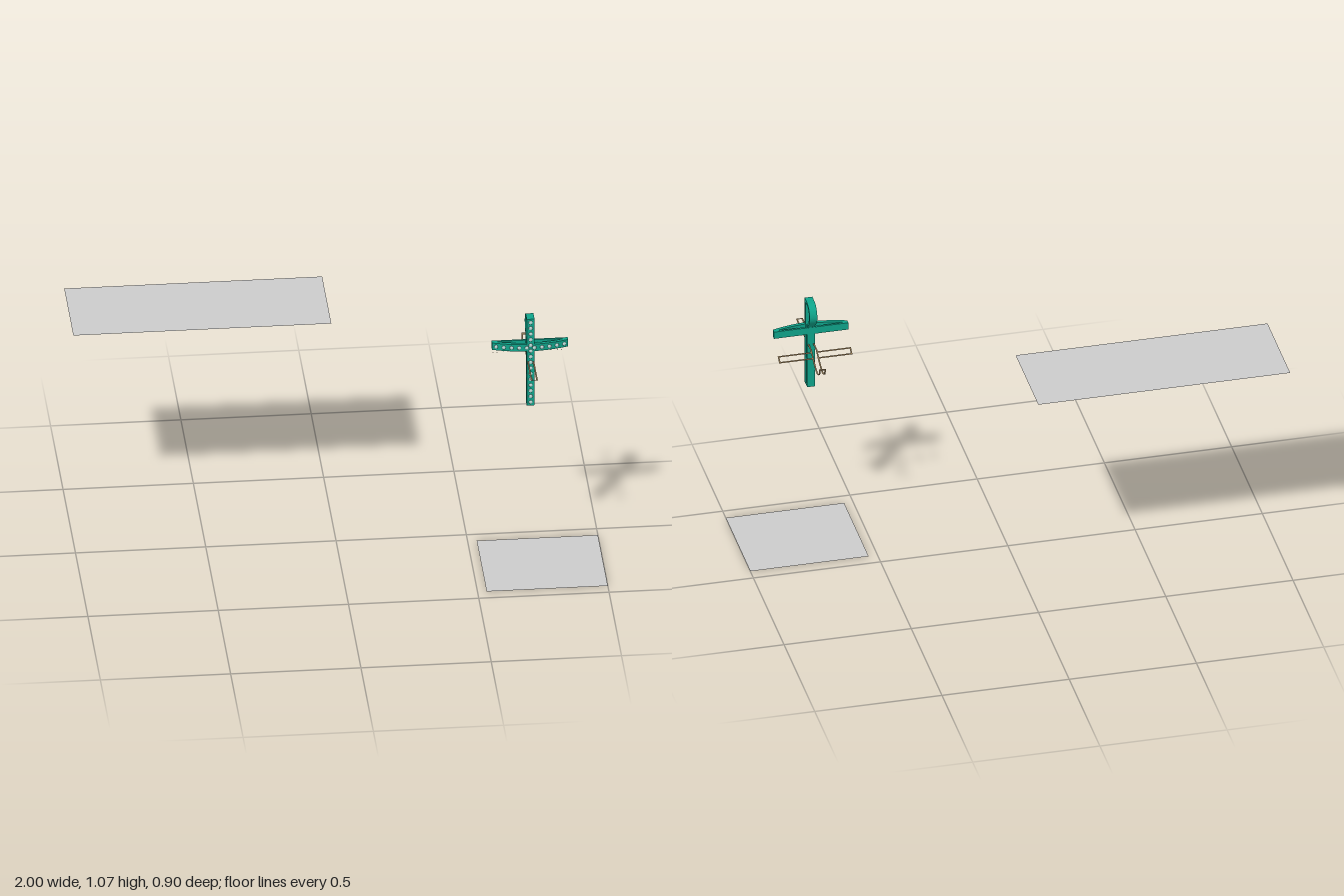
import * as THREE from 'three';

const CX = 0.723; // centre line of both crosses
const grey = new THREE.MeshStandardMaterial({ color: 0xcccccc, side: THREE.DoubleSide });
const teal = new THREE.MeshStandardMaterial({ color: 0x0fa58b });
const pale = new THREE.MeshStandardMaterial({ color: 0xbfe0dc });
const brown = new THREE.MeshStandardMaterial({ color: 0x8a7350, side: THREE.DoubleSide });

function add(parent, name, geometry, material) {
  const mesh = new THREE.Mesh(geometry, material);
  mesh.name = name;
  parent.add(mesh);
  return mesh;
}

function sheet(parent, name, x0, x1, y, z0, z1) {
  const g = new THREE.PlaneGeometry(x1 - x0, z1 - z0).rotateX(-Math.PI / 2);
  add(parent, name, g, grey).position.set((x0 + x1) / 2, y, (z0 + z1) / 2);
}

function polygon(points, Type = THREE.Path) {
  return new Type(points.map(([x, y]) => new THREE.Vector2(x, y)));
}

// Ribbon of zero thickness following a (z, y) profile between two x positions
function ribbon(parent, name, profile, x0, x1) {
  const pos = [], index = [];
  profile.forEach(([z, y], i) => {
    pos.push(x0, y, z, x1, y, z);
    if (i) index.push(2 * i - 2, 2 * i - 1, 2 * i, 2 * i - 1, 2 * i + 1, 2 * i);
  });
  const g = new THREE.BufferGeometry();
  g.setAttribute('position', new THREE.Float32BufferAttribute(pos, 3));
  g.setIndex(index);
  g.computeVertexNormals();
  add(parent, name, g, brown);
}

// Front face of the bowed arm
const bow = (x) => 0.25 - 0.025 * ((x - CX) / 0.146) ** 2;

function standingCross() {
  const cross = new THREE.Group();
  cross.name = 'standingCross';

  // Upright with a hanging loop behind its top, drawn in (z, y)
  const side = new THREE.Shape();
  side.moveTo(0.209, 0.693);
  side.lineTo(0.25, 0.693);
  side.lineTo(0.25, 1.07);
  side.lineTo(0.216, 1.07);
  side.bezierCurveTo(0.188, 1.07, 0.168, 1.048, 0.168, 1.022);
  side.bezierCurveTo(0.168, 0.99, 0.205, 0.975, 0.209, 0.957);
  const loop = new THREE.Path();
  loop.moveTo(0.233, 0.957);
  loop.lineTo(0.233, 1.059);
  loop.lineTo(0.216, 1.059);
  loop.bezierCurveTo(0.195, 1.059, 0.179, 1.043, 0.179, 1.022);
  loop.bezierCurveTo(0.179, 0.997, 0.208, 0.985, 0.217, 0.957);
  side.holes.push(loop);
  for (const [low, high] of [[0.702, 0.805], [0.817, 0.922]]) {
    side.holes.push(polygon([[0.219, low], [0.219, high], [0.232, high], [0.232, low]]));
  }
  const width = 0.03;
  const upright = new THREE.ExtrudeGeometry(side, { depth: width, bevelEnabled: false, curveSegments: 14 });
  upright.rotateY(-Math.PI / 2).translate(CX + width / 2, 0, 0);
  add(cross, 'upright', upright, teal);

  // Bowed arm, drawn in (x, z), with an opening either side of the upright
  const x0 = CX - 0.146, x1 = CX + 0.146;
  const front = [];
  for (let i = 0; i <= 16; i++) {
    const x = x1 + (x0 - x1) * i / 16;
    front.push([x, bow(x)]);
  }
  const plan = polygon([[x0, 0.207], [x1, 0.207], ...front], THREE.Shape);
  for (const s of [-1, 1]) {
    const hole = [[CX + s * 0.125, 0.215], [CX + s * 0.016, 0.215]];
    for (let i = 0; i <= 6; i++) {
      const x = CX + s * (0.016 + 0.109 * i / 6);
      hole.push([x, bow(x) - 0.0135]);
    }
    plan.holes.push(polygon(hole));
  }
  const arm = new THREE.ExtrudeGeometry(plan, { depth: 0.03, bevelEnabled: false });
  arm.rotateX(Math.PI / 2).translate(0, 0.96, 0);
  add(cross, 'arm', arm, teal);

  // Rows of beads set into the front
  const bead = new THREE.SphereGeometry(0.008, 10, 6);
  bead.scale(1, 1, 0.4);
  for (let i = 0; i < 15; i++) {
    add(cross, 'uprightBead', bead, pale).position.set(CX, 0.708 + i * 0.0248, 0.25);
  }
  for (let i = 0; i < 10; i++) {
    const x = CX + (i - 4.5) * 0.029;
    add(cross, 'armBead', bead, pale).position.set(x, 0.945, bow(x));
  }
  return cross;
}

function lyingCross() {
  const cross = new THREE.Group();
  cross.name = 'lyingCrossFrame';

  // Flat strip that dips and hooks up at the back, open between its rails
  const curve = new THREE.CatmullRomCurve3([
    [0.162, 0.884], [0.155, 0.88], [0.13, 0.866], [0.09, 0.847],
    [0.06, 0.842], [0.032, 0.853], [0.02, 0.885],
  ].map(([z, y]) => new THREE.Vector3(0, y, z)));
  const profile = [[0.4, 0.885], [0.18, 0.885], ...curve.getPoints(24).map((p) => [p.z, p.y])];
  const half = 0.0135, rail = 0.006;
  ribbon(cross, 'longRail', profile, CX - half, CX - half + rail);
  ribbon(cross, 'longRail', profile, CX + half - rail, CX + half);
  ribbon(cross, 'frontEnd', [[0.4, 0.885], [0.394, 0.885]], CX - half, CX + half);
  ribbon(cross, 'backEnd', [[0.022, 0.877], [0.02, 0.885]], CX - half, CX + half);

  // Sloping cross strip
  const slope = (z) => [z, 0.865 + (z - 0.13) * 0.6];
  for (const s of [-1, 1]) {
    const inner = CX + s * half, outer = CX + s * 0.144;
    const lo = Math.min(inner, outer), hi = Math.max(inner, outer);
    ribbon(cross, 'crossRail', [slope(0.157), slope(0.152)], lo, hi);
    ribbon(cross, 'crossRail', [slope(0.135), slope(0.13)], lo, hi);
    const end = outer - s * rail;
    ribbon(cross, 'crossEnd', [slope(0.152), slope(0.135)], Math.min(end, outer), Math.max(end, outer));
  }
  return cross;
}

export function createModel() {
  const model = new THREE.Group();
  model.name = 'crossesAndPanels';
  sheet(model, 'upperPanel', -1, -0.01, 0.904, -0.455, -0.085);
  sheet(model, 'lowerPanel', 0.535, 1, 0, 0.05, 0.45);
  model.add(standingCross(), lyingCross());
  return model;
}
